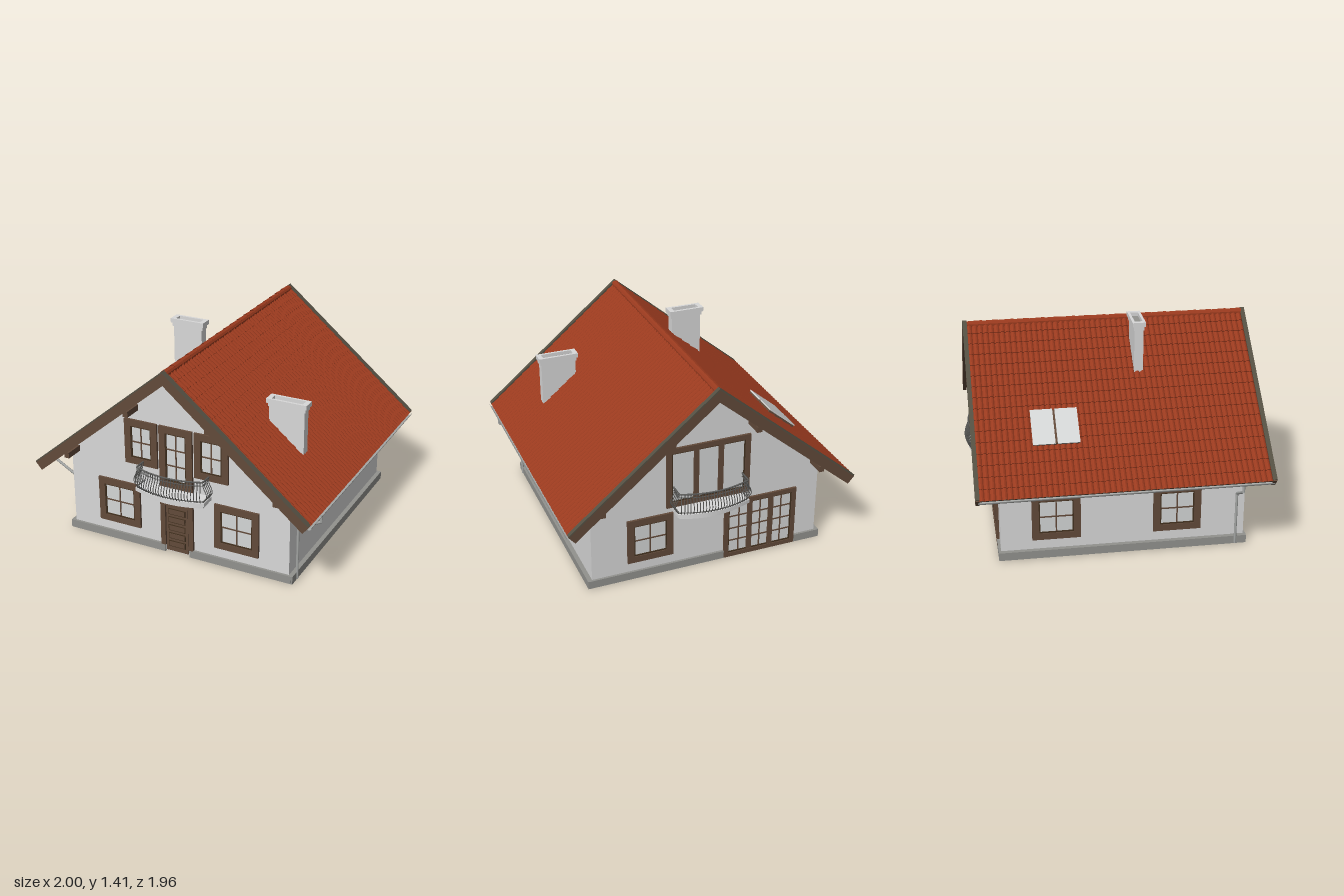
import * as THREE from 'three';

const mat = (name, color, extra = {}) => {
  const m = new THREE.MeshStandardMaterial({ color, ...extra });
  m.name = name;
  return m;
};

export function createModel() {
  const house = new THREE.Group();
  house.name = 'house';
  const plaster = mat('plaster', 0xd8d8d8, { side: THREE.DoubleSide });
  const stone = mat('plinthStone', 0x92928e);
  const wood = mat('wood', 0x624a3a);
  const darkWood = mat('darkWood', 0x42311f);
  const tile = mat('roofTile', 0x9a3a1e, { flatShading: true, side: THREE.DoubleSide });
  const iron = mat('iron', 0x5c5c5a);
  const zinc = mat('zinc', 0xa6a8a6, { side: THREE.DoubleSide });
  const capMetal = mat('vergeCap', 0x555043);
  const glass = mat('glass', 0xd4d6d6);

  const add = (parent, name, geo, material, x = 0, y = 0, z = 0) => {
    const m = new THREE.Mesh(geo, material);
    m.name = name;
    m.position.set(x, y, z);
    parent.add(m);
    return m;
  };
  const box = (parent, name, w, h, d, material, x, y, z) =>
    add(parent, name, new THREE.BoxGeometry(w, h, d), material, x, y, z);
  const group = (name, x = 0, y = 0, z = 0, ry = 0) => {
    const g = new THREE.Group();
    g.name = name;
    g.position.set(x, y, z);
    g.rotation.y = ry;
    house.add(g);
    return g;
  };
  const poly = pts => new THREE.Shape(pts.map(p => new THREE.Vector2(p[0], p[1])));
  const extrude = (shape, depth) => new THREE.ExtrudeGeometry(shape, { depth, bevelEnabled: false, curveSegments: 16 });
  const rod = (parent, name, a, b, r, material) => {
    const dir = b.clone().sub(a);
    const m = add(parent, name, new THREE.CylinderGeometry(r, r, dir.length(), 8), material);
    m.position.copy(a).add(b).multiplyScalar(0.5);
    m.quaternion.setFromUnitVectors(new THREE.Vector3(0, 1, 0), dir.normalize());
  };

  // Walls and plinth, open underneath
  const SLOPE = 0.833, W = 0.8, D = 0.8;
  const gable = new THREE.ShapeGeometry(poly([[-W, 0.01], [W, 0.01], [W, 0.635], [0, 1.3], [-W, 0.635]]));
  add(house, 'frontWall', gable, plaster, 0, 0, D);
  add(house, 'backWall', gable, plaster, 0, 0, -D).rotation.y = Math.PI;
  for (const s of [-1, 1]) {
    add(house, 'sideWall', new THREE.PlaneGeometry(2 * D, 0.625), plaster, s * W, 0.3225, 0).rotation.y = s * Math.PI / 2;
    box(house, 'sidePlinth', 0.03, 0.055, 1.63, stone, s * 0.815, 0.0325, 0);
  }
  const plinth = (x0, x1, z) => box(house, 'plinth', x1 - x0, 0.055, 0.018, stone, (x0 + x1) / 2, 0.0325, z);
  plinth(-0.82, -0.09, 0.807);
  plinth(0.09, 0.82, 0.807);
  plinth(-0.82, -0.64, -0.807);
  plinth(-0.12, 0.82, -0.807);

  // Roof deck, verge boards and caps: chevrons of a given vertical thickness
  const chevron = (top, t, end = 0.99) => {
    const e = [end, top - end * SLOPE], i = [end - t * 0.49, top - end * SLOPE - t * 0.59];
    return poly([[0, top], [-e[0], e[1]], [-i[0], i[1]], [0, top - t], i, e]);
  };
  add(house, 'roofDeck', extrude(chevron(1.335, 0.045, 0.975), 1.87), wood, 0, 0, -0.935);
  for (const z of [-0.955, 0.93]) {
    add(house, 'vergeBoard', extrude(chevron(1.355, 0.088), 0.025), wood, 0, 0, z);
    add(house, 'vergeCap', extrude(chevron(1.363, 0.012), 0.029), capMetal, 0, 0, z - 0.002);
  }

  // Tiled slopes: rounded ribs down the slope, stepped in courses
  const COURSES = 16, RIBS = 52;
  const sheet = new THREE.PlaneGeometry(1, 1, COURSES * 2 - 1, RIBS * 4);
  const p = sheet.attributes.position;
  for (let i = 0; i < p.count; i++) {
    const row = Math.round((p.getX(i) + 0.5) * (COURSES * 2 - 1));
    const x = 0.98 * Math.ceil(row / 2) / COURSES;
    const v = p.getY(i) + 0.5;
    const h = 0.003 + (row % 2) * 0.006 + 0.011 * Math.abs(Math.sin(v * RIBS * Math.PI));
    p.setXYZ(i, x + h * 0.64, 1.335 - SLOPE * x + h * 0.768, 0.932 - v * 1.864);
  }
  sheet.computeVertexNormals();
  add(house, 'tiledSlope', sheet, tile);
  add(house, 'tiledSlope', sheet, tile).rotation.y = Math.PI;

  // Ridge tiles
  for (let i = 0; i < 18; i++) {
    const g = new THREE.CylinderGeometry(0.027, 0.023, 0.108, 10, 1, true);
    add(house, 'ridgeTile', g.rotateX(Math.PI / 2), tile, 0, 1.333, -0.88 + i * 0.1035);
  }

  // Purlin ends under the overhangs
  for (const s of [-1, 1]) for (const z of [-0.865, 0.865]) {
    box(house, 'purlin', 0.035, 0.04, 0.135, wood, s * 0.29, 1.01, z);
    box(house, 'purlin', 0.035, 0.04, 0.135, wood, s * 0.755, 0.62, z);
  }

  // Gutters and downpipes
  for (const s of [-1, 1]) {
    const g = new THREE.CylinderGeometry(0.018, 0.018, 1.88, 10, 1, true, -Math.PI / 2, Math.PI);
    add(house, 'gutter', g.rotateX(Math.PI / 2), zinc, s * 0.982, 0.522, 0);
    const path = [[0.983, 0.51], [0.983, 0.462], [0.83, 0.375], [0.83, 0.01]]
      .map(q => new THREE.Vector3(s * q[0], q[1], 0.74));
    for (let i = 0; i < 3; i++) rod(house, 'downpipe', path[i], path[i + 1], 0.009, zinc);
  }

  // Chimneys: shaft cut to the slope, moulded cap with a sunken flue
  const chimney = (x0, x1, z, top) => {
    const g = group('chimney'), w = x1 - x0, cx = (x0 + x1) / 2;
    const base = x => 1.3 - Math.abs(x) * SLOPE;
    add(g, 'shaft', extrude(poly([[x0, base(x0)], [x1, base(x1)], [x1, top - 0.03], [x0, top - 0.03]]), 0.06), plaster, 0, 0, z - 0.03);
    for (const [o, y, h] of [[0.008, top - 0.055, 0.025], [0.017, top - 0.03, 0.03]]) {
      const a = w / 2 + o, b = 0.026 + o, ia = w / 2 - 0.015, ib = 0.026;
      const ring = poly([[-a, -b], [a, -b], [a, b], [-a, b]]);
      ring.holes.push(poly([[-ia, -ib], [-ia, ib], [ia, ib], [ia, -ib]]));
      add(g, 'cap', extrude(ring, h).rotateX(-Math.PI / 2), plaster, cx, y, z);
    }
    box(g, 'flue', w - 0.03, 0.004, 0.052, stone, cx, top - 0.027, z);
  };
  chimney(-0.337, -0.128, 0.17, 1.41);
  chimney(0.49, 0.735, 0.43, 1.09);

  // Skylight in the left-hand view slope
  const sky = group('skylight', -0.625, 1.352 - 0.625 * SLOPE, -0.42);
  sky.rotation.z = Math.atan(SLOPE);
  box(sky, 'frame', 0.24, 0.03, 0.3, wood, 0, 0, 0);
  for (const s of [-1, 1]) box(sky, 'pane', 0.248, 0.008, 0.144, glass, 0, 0.018, s * 0.079);

  // Windows: frame through the wall, thin glass and glazing bars
  const win = (name, w, h, cols, rows, x, y, z, ry = 0, leaves = 1, b = 0.045) => {
    const g = group(name, x, y, z, ry), gw = w - 2 * b, gh = h - 2 * b;
    box(g, 'glass', gw, gh, 0.008, glass, 0, 0, 0);
    for (const s of [-1, 1]) {
      box(g, 'jamb', b, h, 0.032, wood, s * (w - b) / 2, 0, 0);
      box(g, 'rail', gw, b, 0.032, wood, 0, s * (h - b) / 2, 0);
    }
    const lw = gw / leaves;
    for (let l = 0; l < leaves; l++) {
      const lx = -gw / 2 + (l + 0.5) * lw;
      for (const s of [-1, 1]) {
        box(g, 'sash', 0.008, gh, 0.02, darkWood, lx + s * (lw / 2 - 0.004), 0, 0);
        box(g, 'sash', lw, 0.008, 0.02, darkWood, lx, s * (gh / 2 - 0.004), 0);
      }
      if (l) box(g, 'mullion', 0.036, gh, 0.026, wood, lx - lw / 2, 0, 0);
      for (let i = 1; i < cols; i++) box(g, 'bar', 0.009, gh, 0.016, wood, lx - lw / 2 + i * lw / cols, 0, 0);
      for (let i = 1; i < rows; i++) box(g, 'bar', lw, 0.009, 0.016, wood, lx, -gh / 2 + i * gh / rows, 0);
    }
  };
  for (const s of [-1, 1]) {
    win('groundWindow', 0.315, 0.32, 2, 2, s * 0.433, 0.29, D);
    win('upperWindow', 0.24, 0.315, 2, 2, s * 0.255, 0.7625, D);
  }
  win('frontBalconyDoor', 0.24, 0.43, 2, 3, 0, 0.705, D);
  win('backWindow', 0.315, 0.32, 2, 2, 0.4, 0.29, -D, Math.PI);
  win('backBalconyDoors', 0.58, 0.43, 1, 1, 0, 0.705, -D, Math.PI, 3, 0.035);
  win('gardenDoors', 0.52, 0.435, 2, 4, -0.38, 0.2225, -D, Math.PI, 3, 0.03);
  box(house, 'gardenDoorSill', 0.52, 0.01, 0.04, darkWood, -0.38, 0.005, -0.785);
  for (const z of [-0.44, 0.35]) win('sideWindow', 0.315, 0.32, 2, 2, -W, 0.29, z, -Math.PI / 2);

  // Entrance door with raised panels
  const door = group('entranceDoor', 0, 0, D);
  box(door, 'leaf', 0.16, 0.34, 0.02, wood, 0, 0.19, 0);
  for (const s of [-1, 1]) box(door, 'jamb', 0.035, s ? 0.345 : 0, 0.032, wood, s * 0.1025, 0.2275, 0);
  box(door, 'lintel', 0.24, 0.045, 0.034, wood, 0, 0.3775, 0);
  for (let i = 0; i < 5; i++) {
    box(door, 'panelGroove', 0.125, 0.044, 0.004, darkWood, 0, 0.075 + i * 0.06, 0.011);
    box(door, 'panel', 0.113, 0.032, 0.006, wood, 0, 0.075 + i * 0.06, 0.013);
  }

  // Balconies: stepped bowed slab and bellied iron railing
  const balcony = (name, z, ry) => {
    const g = group(name, 0, 0, z, ry);
    for (const [w, d, y, h] of [[0.25, 0.105, 0.465, 0.025], [0.228, 0.075, 0.435, 0.03]]) {
      const s = new THREE.Shape();
      s.moveTo(-w, 0);
      s.lineTo(w, 0);
      s.lineTo(w, -d);
      s.quadraticCurveTo(0, -d - 0.1, -w, -d);
      s.closePath();
      const geo = extrude(s, h).rotateX(-Math.PI / 2);
      add(g, 'slab', geo, plaster, 0, y, 0);
    }
    const V = (x, y, zz) => new THREE.Vector3(x, y, zz), path = new THREE.CurvePath();
    path.add(new THREE.LineCurve3(V(-0.24, 0, 0), V(-0.24, 0, 0.1)));
    path.add(new THREE.QuadraticBezierCurve3(V(-0.24, 0, 0.1), V(0, 0, 0.2), V(0.24, 0, 0.1)));
    path.add(new THREE.LineCurve3(V(0.24, 0, 0.1), V(0.24, 0, 0)));
    const n = 36, line = path.getSpacedPoints(48);
    for (const [y, r] of [[0.635, 0.006], [0.61, 0.003], [0.497, 0.004]]) {
      const rail = new THREE.CatmullRomCurve3(line.map(q => V(q.x, y, q.z)));
      add(g, 'handrail', new THREE.TubeGeometry(rail, 60, r, 6), iron);
    }
    for (let i = 1; i < n; i++) {
      const q = path.getPointAt(i / n), t = path.getTangentAt(i / n);
      const pts = [[0, 0.635], [0.002, 0.6], [0.022, 0.555], [0.026, 0.53], [0.012, 0.505], [0, 0.488]]
        .map(([o, y]) => V(q.x - t.z * o, y, q.z + t.x * o));
      add(g, 'baluster', new THREE.TubeGeometry(new THREE.CatmullRomCurve3(pts), 9, 0.0032, 4), iron);
    }
  };
  balcony('frontBalcony', D, 0);
  balcony('backBalcony', -D, Math.PI);

  return house;
}
